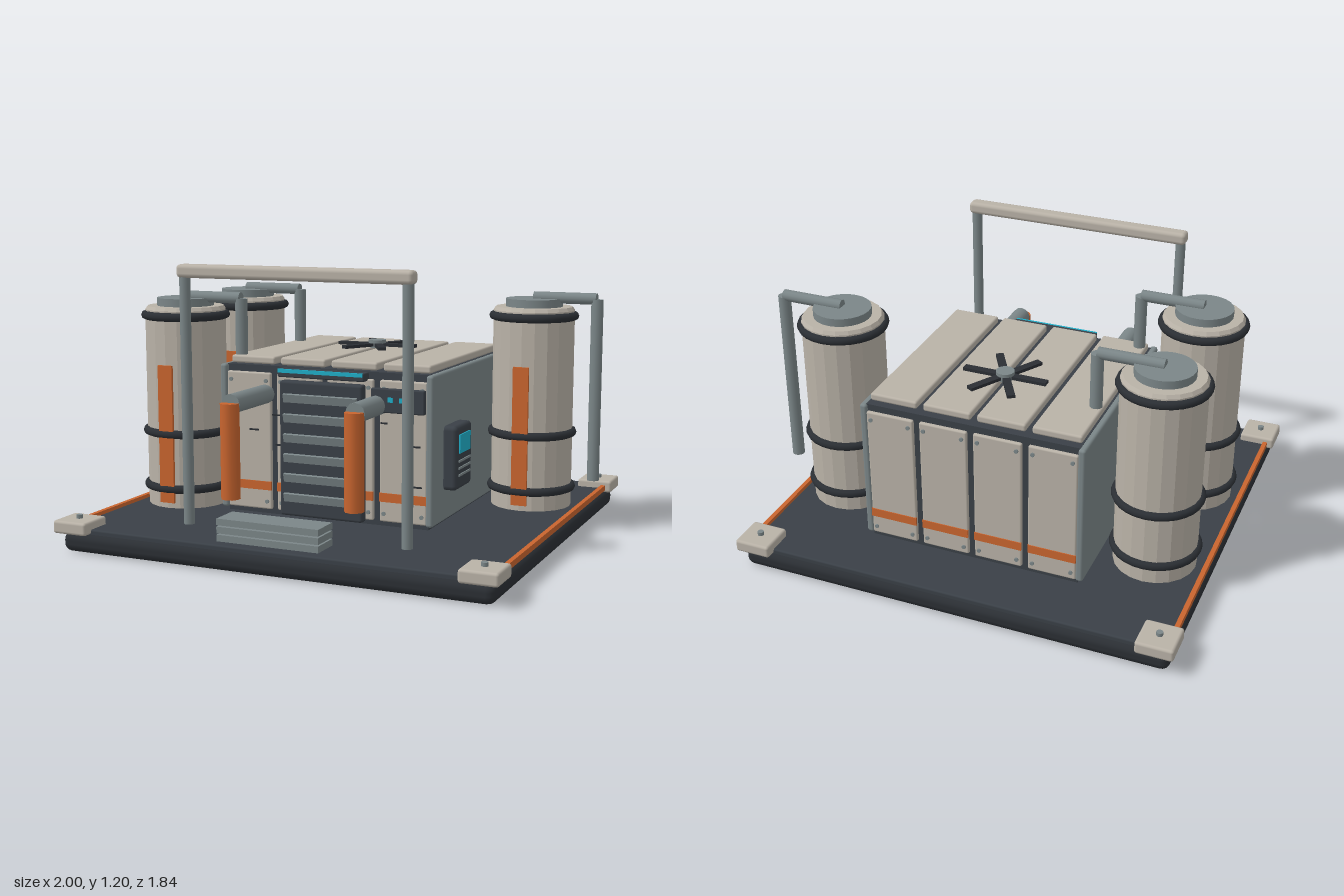
import * as THREE from 'three';
import { RoundedBoxGeometry } from 'three/addons/geometries/RoundedBoxGeometry.js';

const mat = (name, color, flatShading = false) => {
  const m = new THREE.MeshStandardMaterial({ color, flatShading });
  m.name = name;
  return m;
};

export function createModel() {
  const root = new THREE.Group();
  root.name = 'processingUnit';
  const cream = mat('cream panel', 0xb9b2a7);
  const grey = mat('grey metal', 0x7b8688);
  const dark = mat('dark frame', 0x3a4047);
  const black = mat('black rubber', 0x2b2f34);
  const orange = mat('orange paint', 0xc9652f);
  const teal = mat('teal light', 0x20aec8);
  const creamFacet = cream;
  const cx = -0.025; // centre line of the machine

  const add = (parent, name, geo, material, x, y, z) => {
    const m = new THREE.Mesh(geo, material);
    m.name = name;
    m.position.set(x, y, z);
    parent.add(m);
    return m;
  };
  const box = (p, name, m, x, y, z, w, h, d, r = 0) =>
    add(p, name, r ? new RoundedBoxGeometry(w, h, d, 2, r) : new THREE.BoxGeometry(w, h, d), m, x, y, z);
  const cyl = (p, name, m, x, y, z, r, h, axis = 'y', sides = 16) => {
    const g = new THREE.CylinderGeometry(r, r, h, sides);
    if (axis === 'x') g.rotateZ(Math.PI / 2);
    if (axis === 'z') g.rotateX(Math.PI / 2);
    return add(p, name, g, m, x, y, z);
  };
  const group = (name) => {
    const g = new THREE.Group();
    g.name = name;
    root.add(g);
    return g;
  };

  // Skid base, deck, side rails and corner pads
  const base = group('base');
  box(base, 'baseSlab', black, cx, 0.05, 0, 1.9, 0.085, 1.79, 0.035);
  box(base, 'deck', dark, cx, 0.095, 0, 1.86, 0.03, 1.75, 0.008);
  for (const s of [-1, 1]) {
    box(base, 'sideRail', orange, cx + s * 0.937, 0.112, 0, 0.02, 0.025, 1.56);
    for (const t of [-1, 1]) {
      box(base, 'cornerPad', cream, cx + s * 0.895, 0.117, t * 0.84, 0.16, 0.055, 0.16, 0.012);
      cyl(base, 'padBolt', grey, cx + s * 0.895, 0.15, t * 0.84, 0.014, 0.02, 'y', 10);
    }
  }

  // Main cabinet
  const cabinet = group('cabinet');
  box(cabinet, 'core', dark, cx, 0.435, -0.145, 0.94, 0.65, 0.92);
  for (const s of [-1, 1]) {
    box(cabinet, 'sidePanel', grey, cx + s * 0.48, 0.443, -0.14, 0.032, 0.635, 0.96, 0.012);
  }
  for (let i = 0; i < 4; i++) {
    const x = cx + (i - 1.5) * 0.24;
    box(cabinet, 'roofPanel', cream, x, 0.778, -0.143, 0.212, 0.034, 0.865, 0.01);
    for (const [z, s] of [[0.317, 1], [-0.607, -1]]) {
      box(cabinet, 'wallPanel', cream, x, 0.43, z, 0.212, 0.6, 0.024, 0.008);
      box(cabinet, 'wallStripe', orange, x, 0.235, z + s * 0.012, 0.211, 0.038, 0.008);
      for (const bx of [-0.085, 0.085]) for (const y of [0.165, 0.695]) {
        cyl(cabinet, 'panelBolt', grey, x + bx, y, z + s * 0.013, 0.009, 0.012, 'z', 8);
      }
    }
  }
  // Short scuff marks on the front panels
  for (const [x, y, w] of [[-0.37, 0.6, 0.045], [-0.36, 0.48, 0.045], [-0.46, 0.36, 0.03], [-0.25, 0.55, 0.04],
    [-0.24, 0.42, 0.03], [0.39, 0.46, 0.045], [0.4, 0.29, 0.04], [0.25, 0.55, 0.03]]) {
    box(cabinet, 'scuff', black, x, y, 0.331, w, 0.007, 0.005);
  }

  // Louvred front vent with a lit hood
  const vent = group('frontVent');
  box(vent, 'ventFrame', dark, cx, 0.415, 0.345, 0.385, 0.585, 0.05, 0.012);
  for (let i = 0; i < 6; i++) {
    const slat = box(vent, 'louvre', grey, cx, 0.635 - i * 0.086, 0.372, 0.34, 0.036, 0.014);
    slat.rotation.x = 0.25;
  }
  box(vent, 'ventHood', dark, cx, 0.74, 0.34, 0.4, 0.036, 0.06, 0.006);
  box(vent, 'hoodLight', teal, cx, 0.75, 0.371, 0.39, 0.016, 0.01);

  // Roof fan
  const fan = group('roofFan');
  for (let i = 0; i < 6; i++) {
    const a = (i * Math.PI) / 3;
    const blade = box(fan, 'fanBlade', black, cx + Math.cos(a) * 0.11, 0.806, -0.24 - Math.sin(a) * 0.11, 0.155, 0.014, 0.034);
    blade.rotation.y = a;
  }
  cyl(fan, 'fanHub', grey, cx, 0.81, -0.24, 0.04, 0.036, 'y', 16);

  // Storage tanks with bands, caps and outlet pipes
  const shell = [[0, 0.115], [0.178, 0.115], [0.178, 0.985], [0.168, 1.0], [0, 1.0]];
  for (const [x, z] of [[-0.742, -0.325], [-0.742, 0.25], [0.69, -0.325]]) {
    const tank = group('tank');
    const g = new THREE.LatheGeometry(shell.map(([r, y]) => new THREE.Vector2(r, y)), 20).toNonIndexed();
    g.computeVertexNormals();
    add(tank, 'tankShell', g, creamFacet, x, 0, z);
    for (const y of [0.2, 0.445, 0.96]) {
      add(tank, 'tankBand', new THREE.TorusGeometry(0.178, 0.019, 8, 28).rotateX(Math.PI / 2), black, x, y, z);
    }
    cyl(tank, 'tankCap', grey, x, 1.017, z, 0.125, 0.036, 'y', 24);
    box(tank, 'tankStripe', orange, x, 0.445, z + 0.181, 0.07, 0.61, 0.012);
    cyl(tank, 'outletPipe', grey, x + 0.14, 1.04, z, 0.025, 0.28, 'x', 12);
    cyl(tank, 'downPipe', grey, x + 0.282, 0.64, z, 0.027, 0.795, 'y', 12);
  }

  // Front gantry
  const gantry = group('gantry');
  for (const s of [-1, 1]) cyl(gantry, 'gantryPost', grey, cx + s * 0.497, 0.64, 0.615, 0.023, 1.06, 'y', 12);
  box(gantry, 'gantryBeam', cream, cx, 1.178, 0.613, 1.05, 0.056, 0.066, 0.018);

  // Front outlet ducts with orange drop pipes
  for (const x of [-0.307, 0.253]) {
    const duct = group('frontDuct');
    cyl(duct, 'ductPipe', grey, x, 0.638, 0.475, 0.042, 0.31, 'z', 12);
    cyl(duct, 'dropPipe', orange, x, 0.443, 0.637, 0.041, 0.4, 'y', 10);
  }

  // Entry steps
  const steps = group('steps');
  for (let i = 0; i < 3; i++) box(steps, 'step', grey, cx, 0.135 + i * 0.033, 0.795, 0.45, 0.027, 0.13);

  // Status display at the front
  const status = group('statusDisplay');
  box(status, 'statusPlate', dark, 0.347, 0.66, 0.41, 0.235, 0.1, 0.026, 0.006);
  for (const x of [0.318, 0.368]) box(status, 'statusLight', teal, x, 0.665, 0.424, 0.022, 0.02, 0.008);

  // Control panel on the side wall
  const control = group('controlPanel');
  box(control, 'controlCase', dark, 0.495, 0.398, 0.118, 0.07, 0.275, 0.195, 0.02);
  box(control, 'controlScreen', teal, 0.531, 0.458, 0.122, 0.009, 0.08, 0.13);
  for (let i = 0; i < 3; i++) box(control, 'controlKeyRow', grey, 0.531, 0.385 - i * 0.03, 0.122, 0.008, 0.009, 0.14);

  return root;
}
